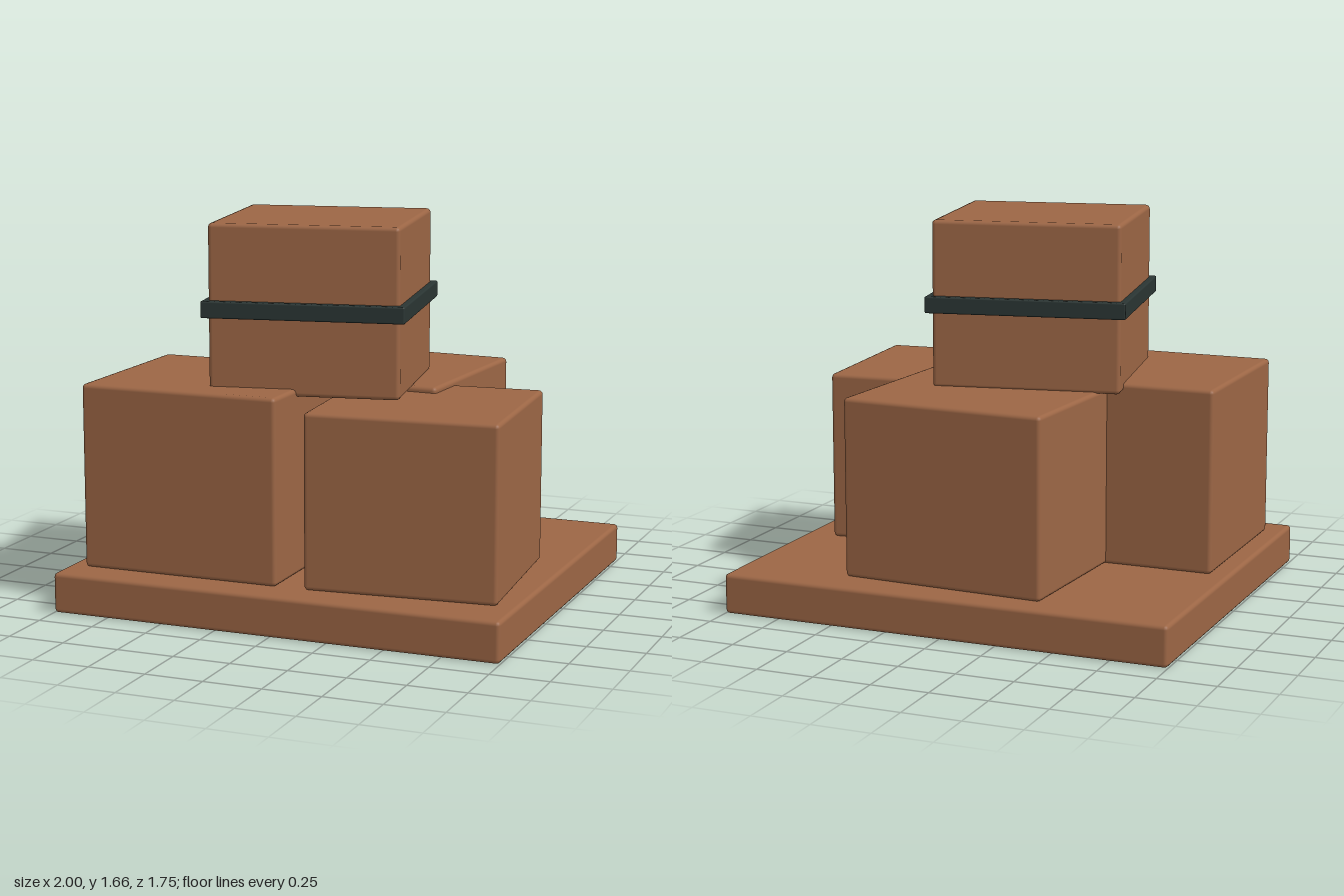
import * as THREE from 'three';
import { RoundedBoxGeometry } from 'three/addons/geometries/RoundedBoxGeometry.js';

export function createModel() {
  const group = new THREE.Group();
  const brown = new THREE.MeshStandardMaterial({ name: 'crateBrown', color: 0x9c6645 });
  const dark = new THREE.MeshStandardMaterial({ name: 'strapDark', color: 0x2a3533 });

  // softly bevelled box: size, vertical range, centre on the floor plan, turn about y
  function block(name, material, [w, d], [y0, y1], [x, z], turn = 0, bevel = 0.018) {
    const mesh = new THREE.Mesh(new RoundedBoxGeometry(w, y1 - y0, d, 2, bevel), material);
    mesh.name = name;
    mesh.position.set(x, (y0 + y1) / 2, z);
    mesh.rotation.y = turn;
    group.add(mesh);
  }

  // pallet slab
  block('base', brown, [2, 1.745], [0, 0.175], [0, 0]);

  // three lower crates
  block('rightCrate', brown, [0.894, 0.82], [0.175, 0.975], [-0.475, 0.32]);
  block('leftCrate', brown, [0.826, 0.796], [0.175, 0.925], [0.477, 0.3], 0.08);
  block('backCrate', brown, [0.914, 0.84], [0.175, 0.95], [0.025, -0.315], -0.055);

  // top crate and the strap around it
  block('topCrate', brown, [0.817, 0.761], [0.942, 1.665], [-0.065, 0.126], 0.18);
  block('strap', dark, [0.869, 0.821], [1.268, 1.34], [-0.065, 0.126], 0.18, 0.007);

  return group;
}
